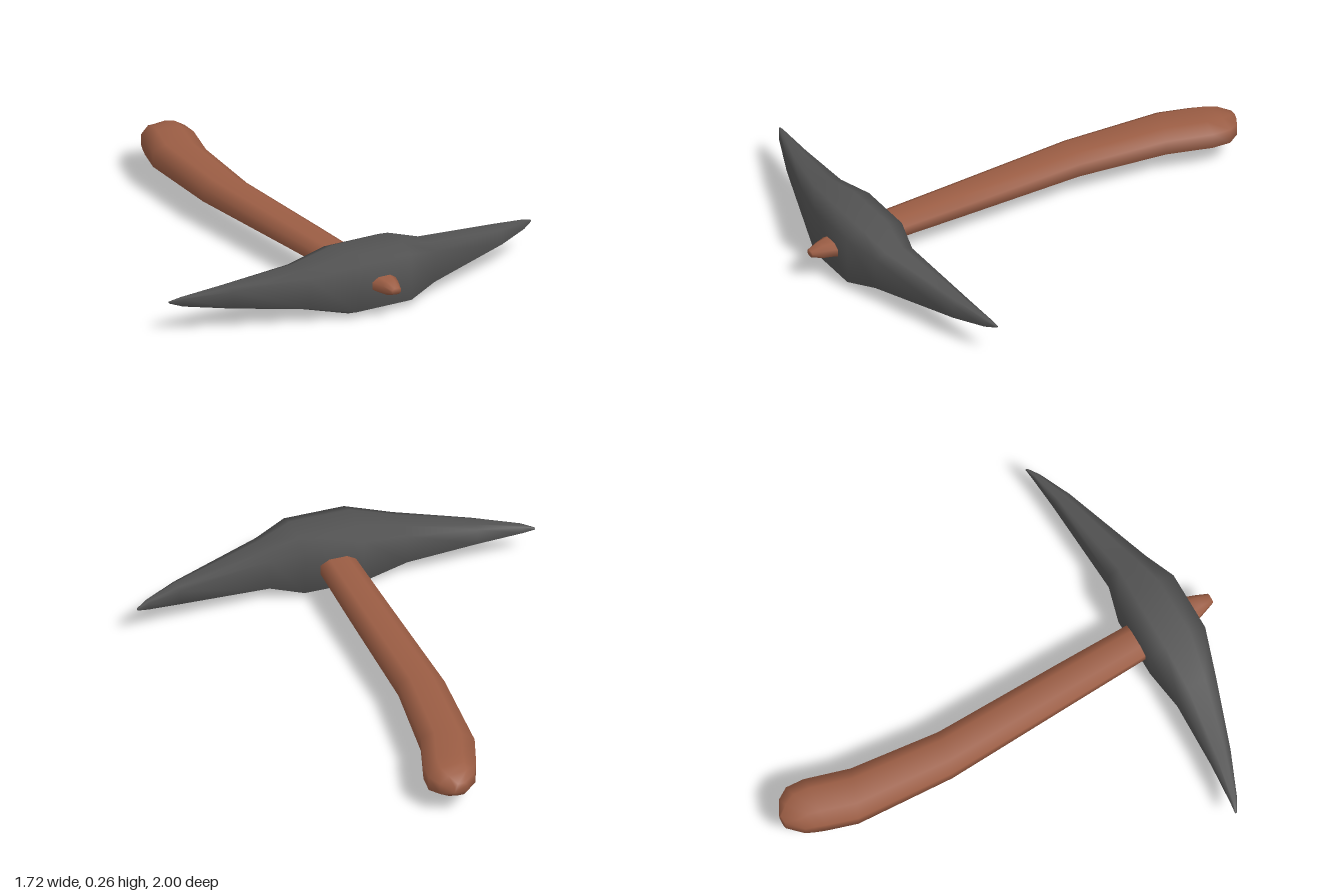
import * as THREE from 'three';

const CENTER_Y = 0.13;

// Lofts chamfered eight-sided rings. Each section is [ax, az, bx, bz, halfHeight]:
// the ring spans from a to b in plan and halfHeight above and below CENTER_Y.
function loft(name, sections, shoulder, flat, color) {
  const ring = [
    [1, -shoulder], [1, shoulder], [flat, 1], [-flat, 1],
    [-1, shoulder], [-1, -shoulder], [-flat, -1], [flat, -1],
  ];
  const n = ring.length;
  const pos = [];
  const index = [];
  for (const [ax, az, bx, bz, h] of sections) {
    for (const [u, v] of ring) {
      const t = (u + 1) / 2;
      pos.push(ax + (bx - ax) * t, CENTER_Y + v * h, az + (bz - az) * t);
    }
  }
  for (let i = 0; i < sections.length - 1; i++) {
    for (let j = 0; j < n; j++) {
      const a = i * n + j, b = i * n + (j + 1) % n;
      index.push(a, b, b + n, a, b + n, a + n);
    }
  }
  // End caps
  const last = (sections.length - 1) * n;
  for (let j = 1; j < n - 1; j++) {
    index.push(0, j + 1, j);
    index.push(last, last + j, last + j + 1);
  }
  const geometry = new THREE.BufferGeometry();
  geometry.setAttribute('position', new THREE.Float32BufferAttribute(pos, 3));
  geometry.setIndex(index);
  geometry.computeVertexNormals();
  const mesh = new THREE.Mesh(geometry, new THREE.MeshStandardMaterial({ color }));
  mesh.name = name;
  return mesh;
}

export function createModel() {
  const group = new THREE.Group();
  group.name = 'pickaxe';

  // Double-pointed head: [x, back z, front z, half height], from left tip to right tip
  const head = [
    [0.86, 0.622, 0.63, 0.004],
    [0.81, 0.63, 0.66, 0.019],
    [0.67, 0.645, 0.72, 0.041],
    [0.27, 0.675, 0.85, 0.088],
    [0.13, 0.64, 0.9, 0.13],
    [-0.13, 0.64, 0.9, 0.13],
    [-0.32, 0.66, 0.84, 0.085],
    [-0.62, 0.647, 0.738, 0.046],
    [-0.81, 0.63, 0.66, 0.019],
    [-0.86, 0.622, 0.63, 0.004],
  ].map(([x, z0, z1, h]) => [x, z0, x, z1, h]);
  group.add(loft('head', head, 0.77, 0.46, 0x525252));

  // Curved wooden handle, from the rounded grip end to the point in front of the head
  const handle = [
    [0.0, -1.0, 0.055, -1.0, 0.028],
    [-0.055, -0.94, 0.11, -0.97, 0.05],
    [-0.07, -0.9, 0.14, -0.92, 0.063],
    [-0.085, -0.86, 0.135, -0.84, 0.064],
    [-0.125, -0.73, 0.08, -0.65, 0.062],
    [-0.145, -0.3, 0.04, -0.26, 0.057],
    [-0.11, 0.3, 0.055, 0.3, 0.048],
    [-0.09, 0.66, 0.062, 0.66, 0.043],
    [-0.055, 0.9, 0.055, 0.9, 0.033],
    [-0.038, 0.95, 0.038, 0.95, 0.029],
    [-0.02, 1.0, 0.02, 1.0, 0.013],
  ];
  group.add(loft('handle', handle, 0.5, 0.5, 0x9b5d44));

  return group;
}
